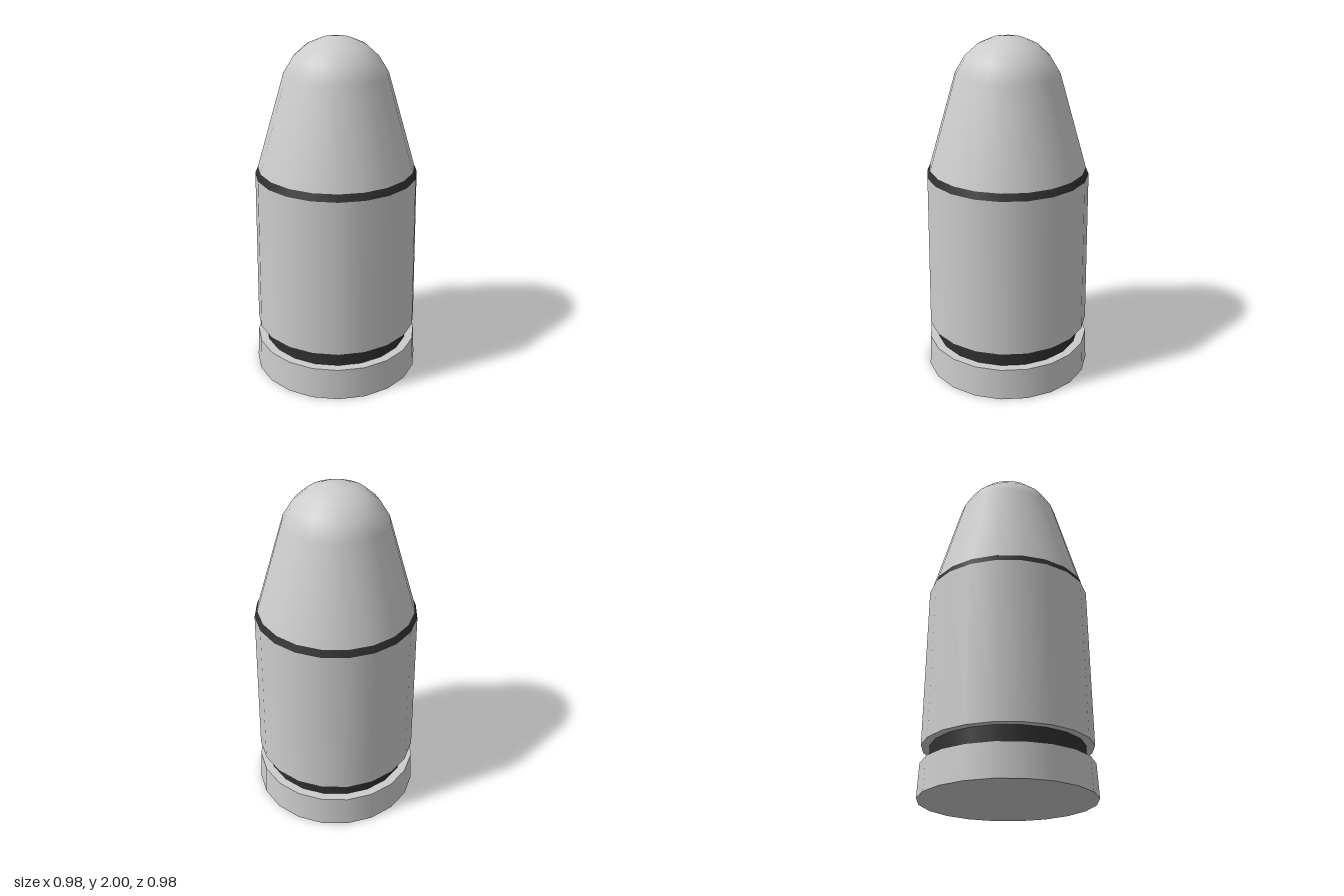
import * as THREE from 'three';

const SIDES = 20;
const grey = new THREE.MeshStandardMaterial({ color: 0xcccccc });
const dark = new THREE.MeshStandardMaterial({ color: 0x303030 });

// Turn a profile of [radius, height] points, listed from bottom to top
function turned(name, profile, material) {
  const points = profile.map(([r, y]) => new THREE.Vector2(r, y));
  const mesh = new THREE.Mesh(new THREE.LatheGeometry(points, SIDES), material);
  mesh.name = name;
  return mesh;
}

export function createModel() {
  const group = new THREE.Group();
  group.name = 'cartridge';

  group.add(
    // Rim with its flat bottom and the shelf above it
    turned('rimBottom', [[0, 0], [0.49, 0]], grey),
    turned('rim', [[0.49, 0], [0.48, 0.19]], grey),
    turned('rimShelf', [[0.48, 0.19], [0.43, 0.19]], grey),

    // Dark extractor groove
    turned('extractorGroove', [[0.43, 0.19], [0.43, 0.29]], dark),

    // Slightly tapered case
    turned('caseUnderside', [[0.43, 0.29], [0.477, 0.29]], grey),
    turned('caseBody', [[0.477, 0.29], [0.464, 1.22]], grey),

    // Dark bevelled mouth
    turned('caseMouth', [[0.464, 1.22], [0.447, 1.26]], dark),

    // Conical bullet with a rounded tip
    turned('bullet', [
      [0.447, 1.26], [0.29, 1.8], [0.235, 1.89], [0.165, 1.953], [0.085, 1.988], [0, 2],
    ], grey),
  );
  return group;
}
